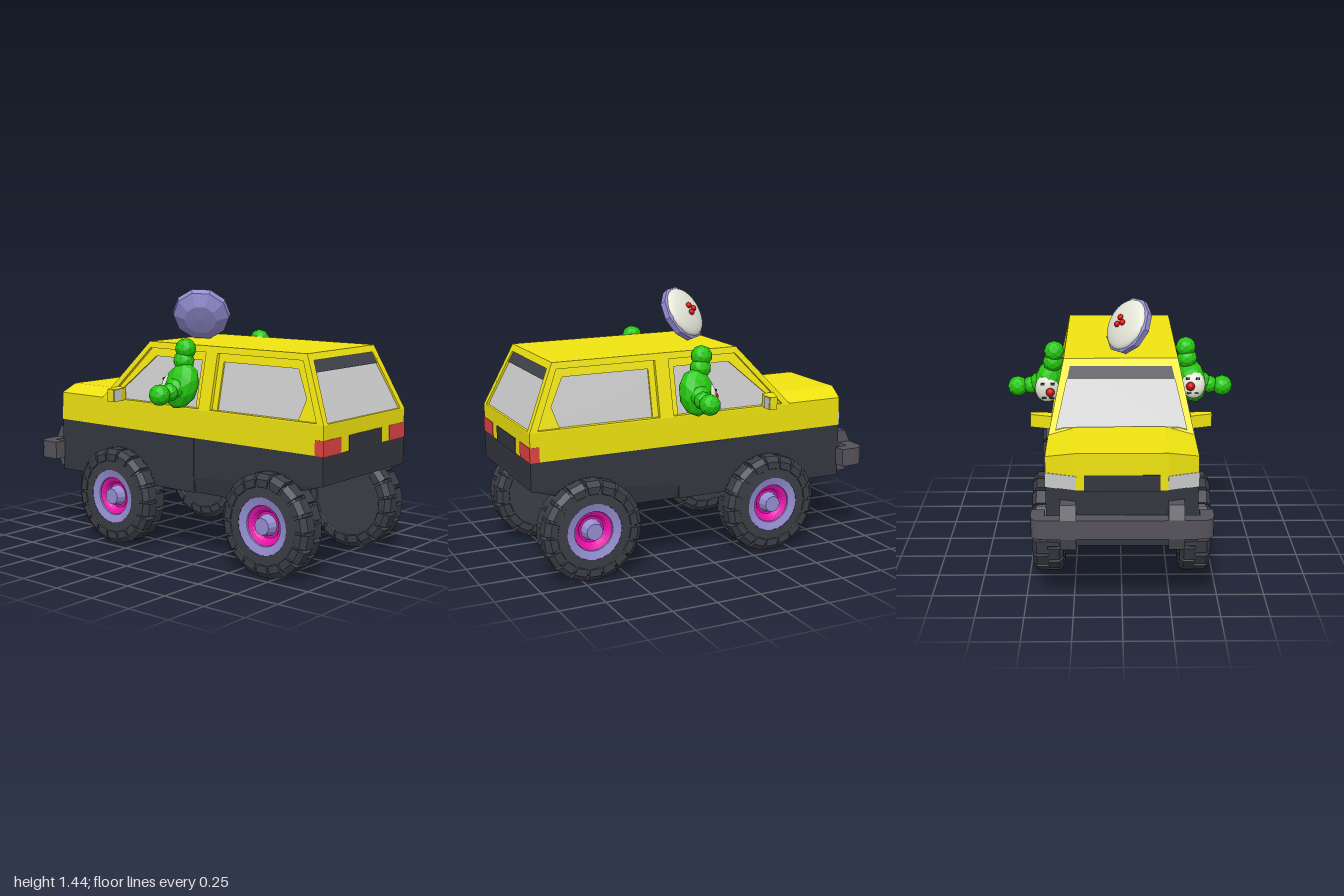
import * as THREE from 'three';
import { mergeGeometries } from 'three/addons/utils/BufferGeometryUtils.js';
import { ConvexGeometry } from 'three/addons/geometries/ConvexGeometry.js';

const mat = (color, flatShading = true, side = THREE.FrontSide) =>
  new THREE.MeshStandardMaterial({ color, flatShading, side });
const yellow = mat(0xf0e410, true, THREE.DoubleSide);
const dark = mat(0x34373f), tyreDark = mat(0x3c3e46), bumperGrey = mat(0x55535a);
const stripDark = mat(0x41444d, true, THREE.DoubleSide);
const glassGrey = mat(0xcccccc), tailRed = mat(0xe04444), lilac = mat(0x958ed2);
const magenta = mat(0xe812ac), green = mat(0x25c80f), red = mat(0xd00a0a, false);
const white = mat(0xe6e8da, false);

// Sloping cabin walls as functions of height
const SILL = 0.815, ROOF = 1.155;
const sideX = y => 0.385 - (y - SILL) * 0.22;
const rearZ = y => 1 - (y - SILL) * 0.456;
const frontZ = y => -0.535 + (y - SILL) * 0.912;

export function createModel() {
  const car = new THREE.Group();
  car.name = 'car';

  const add = (name, geometry, material, parent = car, pos = [0, 0, 0]) => {
    const mesh = new THREE.Mesh(geometry, material);
    mesh.name = name;
    mesh.position.set(...pos);
    parent.add(mesh);
    return mesh;
  };
  const hull = pts => new ConvexGeometry(pts.map(p => new THREE.Vector3(...p)));
  const mirror = pts => pts.flatMap(([x, y, z]) => [[x, y, z], [-x, y, z]]);
  const box = (name, m, x0, x1, y0, y1, z0, z1, parent = car) =>
    add(name, new THREE.BoxGeometry(x1 - x0, y1 - y0, z1 - z0), m, parent,
      [(x0 + x1) / 2, (y0 + y1) / 2, (z0 + z1) / 2]);
  const vec = pts => pts.map(p => new THREE.Vector2(...p));

  // Flat sheet with holes, bent onto a sloping wall by a mapping rule
  const panel = (name, outline, holes, depth, map, m = yellow) => {
    const shape = new THREE.Shape(vec(outline));
    shape.holes = holes.map(h => new THREE.Path(vec(h)));
    const g = new THREE.ExtrudeGeometry(shape, { depth, bevelEnabled: false });
    const p = g.attributes.position;
    for (let i = 0; i < p.count; i++) p.setXYZ(i, ...map(p.getX(i), p.getY(i), p.getZ(i)));
    g.computeVertexNormals();
    return add(name, g, m);
  };

  // Body
  const plan = (y0, y1) => mirror([y0, y1].flatMap(y =>
    [[0.23, y, -0.92], [0.385, y, -0.865], [0.385, y, 1]]));
  add('lowerBody', hull(mirror([
    [0.23, 0.66, -0.915], [0.385, 0.66, -0.865], [0.385, 0.66, 1], [0.385, 0.51, 1],
    [0.23, 0.36, -0.915], [0.385, 0.36, -0.865], [0.365, 0.36, 0.5], [0.385, 0.5, 0.5],
  ])), dark);
  add('beltBody', hull(plan(0.66, SILL)), yellow);
  add('hood', hull(mirror([
    [0.23, 0.855, -0.92], [0.385, 0.82, -0.865], [0.23, 0.855, -0.5], [0.385, 0.82, -0.53],
    [0.23, 0.7, -0.92], [0.385, 0.7, -0.865], [0.385, 0.7, -0.5],
  ])), yellow);
  box('rearPlate', dark, -0.155, 0.155, 0.655, 0.74, 0.9, 1.003);
  box('grille', dark, -0.19, 0.19, 0.655, 0.74, -0.924, -0.85);

  // Cabin
  add('cabinGlass', hull(mirror([0.8, 1.14].flatMap(y =>
    [[sideX(y) - 0.03, y, rearZ(y) - 0.015], [sideX(y) - 0.03, y, frontZ(y) + 0.015]]))), glassGrey);
  add('roof', hull(mirror([1.125, ROOF].flatMap(y =>
    [[sideX(y), y, rearZ(y)], [sideX(y), y, frontZ(y)]]))), yellow);

  const sideWall = [[1, SILL], [0.845, ROOF], [-0.225, ROOF], [-0.535, SILL]];
  const openings = [
    [[0.955, 0.822], [0.825, 1.12], [0.27, 1.12], [0.27, 0.822]],
    [[0.19, 0.822], [0.19, 1.12], [-0.215, 1.12], [-0.485, 0.822]],
  ];
  const panes = [
    [[0.83, 0.822], [0.865, 0.93], [0.79, 1.075], [0.305, 1.075], [0.305, 0.822]],
    [[0.155, 0.822], [0.155, 1.075], [-0.18, 1.075], [-0.465, 0.822]],
  ];
  for (const s of [1, -1]) {
    panel('sideFrame', sideWall, openings, 0.03, (u, v, w) => [s * (sideX(v) - w), v, u]);
    panel('sideInnerFrame', sideWall.map(([u, v]) => [u * 0.97, v]), panes, 0.01,
      (u, v, w) => [s * (sideX(v) - 0.02 - w), v, u]);
  }
  const ends = [['rear', rearZ, 1, SILL, 0.385], ['windshield', frontZ, -1, 0.845, 0.34]];
  for (const [name, wall, dir, sill, wide] of ends) {
    panel(name + 'Frame',
      [[-0.385, SILL], [0.385, SILL], [0.31, ROOF], [-0.31, ROOF]],
      [[[-wide + 0.04, sill + 0.004], [wide - 0.04, sill + 0.004], [0.345, SILL + 0.01 + (sill - SILL) * 0.5],
        [0.275, 1.12], [-0.275, 1.12], [-0.345, SILL + 0.01 + (sill - SILL) * 0.5]]],
      0.014, (u, v, w) => [u, v, wall(v) - dir * w]);
    panel(name + 'SunStrip', [[-0.29, 1.06], [0.29, 1.06], [0.28, 1.12], [-0.28, 1.12]], [],
      0.01, (u, v, w) => [u, v, wall(v) - dir * (0.009 + w)], stripDark);
  }

  // Lights, mirrors and door sills
  for (const s of [1, -1]) {
    const flip = pts => pts.map(([x, y, z]) => [s * x, y, z]);
    box('tailLight', tailRed, Math.min(s * 0.23, s * 0.387), Math.max(s * 0.23, s * 0.387),
      0.66, 0.74, 0.95, 1.003);
    add('headlight', hull(flip([0.66, 0.735].flatMap(y =>
      [[0.23, y, -0.924], [0.388, y, -0.868], [0.385, y, -0.86], [0.23, y, -0.85]]))), glassGrey);
    add('mirrorHousing', hull(flip([0.82, 0.89].flatMap(y =>
      [[0.37, y, -0.43], [0.37, y, -0.36], [0.485, y, -0.39], [0.485, y, -0.345], [0.42, y, -0.345]]))), yellow);
    add('mirrorGlass', hull(flip([0.825, 0.885].flatMap(y =>
      [[0.425, y, -0.342], [0.48, y, -0.342], [0.425, y, -0.35], [0.48, y, -0.35]]))), glassGrey);
    add('doorSill', hull(flip([-0.15, 0.16].flatMap(z =>
      [[0.387, 0.655, z], [0.387, 0.36, z], [0.35, 0.655, z], [0.35, 0.36, z]]))), dark);
    // Bumper upright
    add('bumperUpright', hull([0.23, 0.31].flatMap(x =>
      [[s * x, 0.6, -0.88], [s * x, 0.6, -0.965], [s * x, 0.53, -1], [s * x, 0.43, -1],
        [s * x, 0.36, -0.965], [s * x, 0.36, -0.88]])), bumperGrey);
  }

  // Wrap-around front bumper, drawn in plan
  const bar = new THREE.Shape();
  bar.moveTo(-0.46, 0.85);
  bar.lineTo(-0.46, 0.93);
  bar.quadraticCurveTo(-0.46, 1, -0.39, 1);
  bar.lineTo(0.39, 1);
  bar.quadraticCurveTo(0.46, 1, 0.46, 0.93);
  [[0.46, 0.85], [0.39, 0.85], [0.39, 0.925], [-0.39, 0.925], [-0.39, 0.85]].forEach(p => bar.lineTo(...p));
  const barGeometry = new THREE.ExtrudeGeometry(bar, { depth: 0.1, bevelEnabled: false, curveSegments: 4 });
  barGeometry.rotateX(-Math.PI / 2);
  add('frontBumper', barGeometry, bumperGrey, car, [0, 0.43, 0]);

  // Wheels, modelled with the axle along y and the outside up
  const lathe = (pts, n = 24) => new THREE.LatheGeometry(vec(pts), n);
  const tyre = lathe([[0, -0.075], [0.235, -0.075], [0.25, -0.055], [0.25, 0.055],
    [0.235, 0.075], [0.152, 0.08], [0.15, 0.02], [0, 0.02]], 36);
  const rim = lathe([[0.152, 0.02], [0.152, 0.079], [0.108, 0.068], [0.104, 0.03]]);
  const innerRim = lathe([[0.106, 0.02], [0.106, 0.06], [0.085, 0.05], [0.07, 0.028], [0, 0.028]]);
  const hub = new THREE.CylinderGeometry(0.045, 0.06, 0.06, 12).translate(0, 0.052, 0);
  const lugs = [];
  for (let i = 0; i < 36; i++) {
    const e = i % 2 ? -1 : 1;
    const lug = hull([-0.038, 0.038].flatMap(t =>
      [[0.19, e * 0.06, t * 0.7], [0.205, e * 0.082, t * 0.75], [0.243, e * 0.082, t * 0.95],
        [0.271, e * 0.06, t], [0.271, 0, t], [0.19, 0, t * 0.7]]));
    lugs.push(lug.rotateY(i * Math.PI / 18));
  }
  const tread = mergeGeometries(lugs);
  for (const s of [1, -1]) for (const z of [0.69, -0.38]) {
    const wheel = new THREE.Group();
    wheel.name = z > 0 ? 'rearWheel' : 'frontWheel';
    wheel.position.set(s * 0.3925, 0.275, z);
    wheel.rotation.z = -s * Math.PI / 2;
    add('tyre', tyre, tyreDark, wheel);
    add('tread', tread, tyreDark, wheel);
    add('rim', rim, lilac, wheel);
    add('innerRim', innerRim, magenta, wheel);
    add('hub', hub, lilac, wheel);
    car.add(wheel);
  }

  // Green passengers leaning out of the front windows
  const ball = (name, r, pos, m, parent, scale = [1, 1, 1], detail = 1) => {
    const mesh = add(name, new THREE.IcosahedronGeometry(r, detail), m, parent, pos);
    mesh.scale.set(...scale);
    return mesh;
  };
  for (const s of [1, -1]) {
    const rider = new THREE.Group();
    rider.name = 'passenger';
    rider.position.set(s * 0.41, 0.945, s > 0 ? 0.06 : 0.085);
    rider.rotation.x = s > 0 ? 0 : 0.25;
    ball('torso', 0.13, [0, 0, 0.01], green, rider, [0.62, 1, 0.76]).rotation.z = s * 0.22;
    ball('raisedArm', 0.058, [-s * 0.03, 0.125, -0.03], green, rider);
    ball('raisedHand', 0.058, [-s * 0.038, 0.188, -0.04], green, rider);
    ball('shoulder', 0.06, [s * 0.05, -0.01, 0.015], green, rider);
    ball('outerArm', 0.05, [s * 0.1, -0.025, 0.02], green, rider);
    ball('outerHand', 0.058, [s * 0.175, -0.032, 0.02], green, rider);
    ball('face', 0.08, [s * 0.005, -0.025, -0.055], white, rider, [0.85, 1, 0.5], 3);
    ball('nose', 0.025, [-s * 0.015, -0.035, -0.105], red, rider, [1, 1, 1], 2);
    for (const e of [-1, 1]) {
      box('eye', dark, e * 0.028 - 0.01, e * 0.028 + 0.01, 0.002, 0.014, -0.096, -0.075, rider);
      box('mouth', dark, e * 0.02 - 0.012, e * 0.02 + 0.012, -0.078, -0.068, -0.09, -0.07, rider);
    }
    car.add(rider);
  }

  // Tilted dish on the roof, modelled facing up
  const dish = new THREE.Group();
  dish.name = 'roofDish';
  dish.position.set(-0.05, 1.295, -0.07);
  dish.quaternion.setFromUnitVectors(new THREE.Vector3(0, 1, 0),
    new THREE.Vector3(0.72, 0.5, -0.48).normalize());
  add('dishShell', lathe([[0, -0.06], [0.09, -0.055], [0.158, -0.015], [0.163, 0.02], [0.145, 0.03], [0, 0.03]], 10), lilac, dish);
  const dome = add('dishFace', new THREE.SphereGeometry(0.147, 24, 8, 0, Math.PI * 2, 0, Math.PI / 2), white, dish, [0, 0.026, 0]);
  dome.scale.y = 0.3;
  for (let i = 0; i < 3; i++) {
    const a = i * Math.PI * 2 / 3;
    ball('dishDot', 0.017, [Math.cos(a) * 0.024, 0.074, Math.sin(a) * 0.024], red, dish, [1, 1, 1], 2);
  }
  car.add(dish);

  return car;
}
